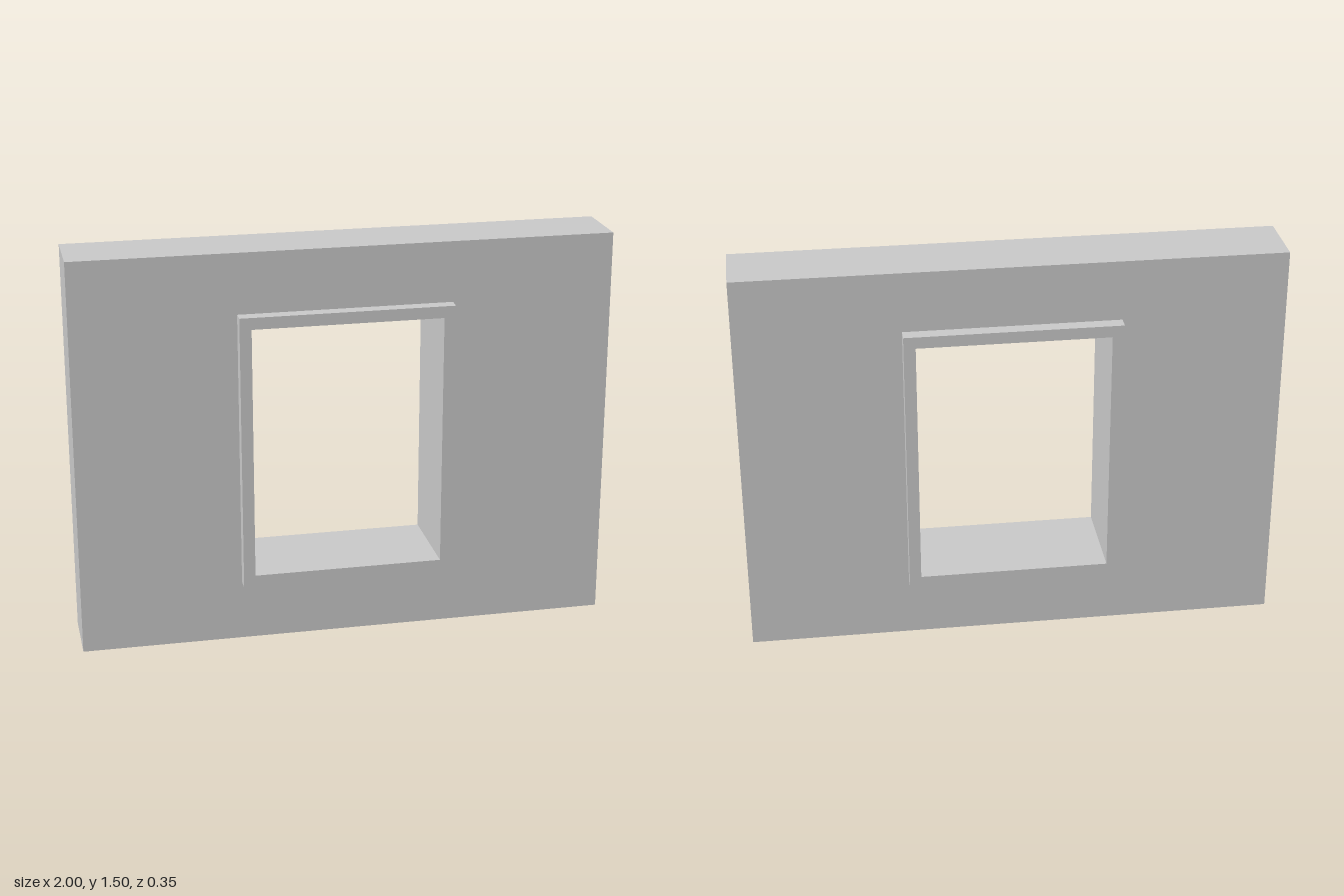
import * as THREE from 'three';

// Rectangular ring: outer and inner bounds [x0, y0, x1, y1], extruded and centred on z = 0
function ring(outer, inner, depth) {
  const corners = ([x0, y0, x1, y1]) => [[x0, y0], [x1, y0], [x1, y1], [x0, y1]].map(([x, y]) => new THREE.Vector2(x, y));
  const shape = new THREE.Shape(corners(outer));
  shape.holes.push(new THREE.Path(corners(inner).reverse()));
  const geometry = new THREE.ExtrudeGeometry(shape, { depth, bevelEnabled: false });
  return geometry.translate(0, 0, -depth / 2);
}

export function createModel() {
  const group = new THREE.Group();
  group.name = 'wallWithWindowOpening';

  const lightGrey = new THREE.MeshStandardMaterial({ color: 0xc8c8c8 });
  lightGrey.name = 'lightGrey';

  const frameOuter = [-0.3975, 0.2285, 0.3975, 1.2725];
  const frameInner = [-0.354, 0.2725, 0.354, 1.2285];

  // Wall slab, cut out to take the frame
  const wall = new THREE.Mesh(ring([-1, 0, 1, 1.5], frameOuter, 0.25), lightGrey);
  wall.name = 'wall';

  // Window frame, standing proud of the wall on both sides
  const frame = new THREE.Mesh(ring(frameOuter, frameInner, 0.35), lightGrey);
  frame.name = 'windowFrame';

  group.add(wall, frame);
  return group;
}
